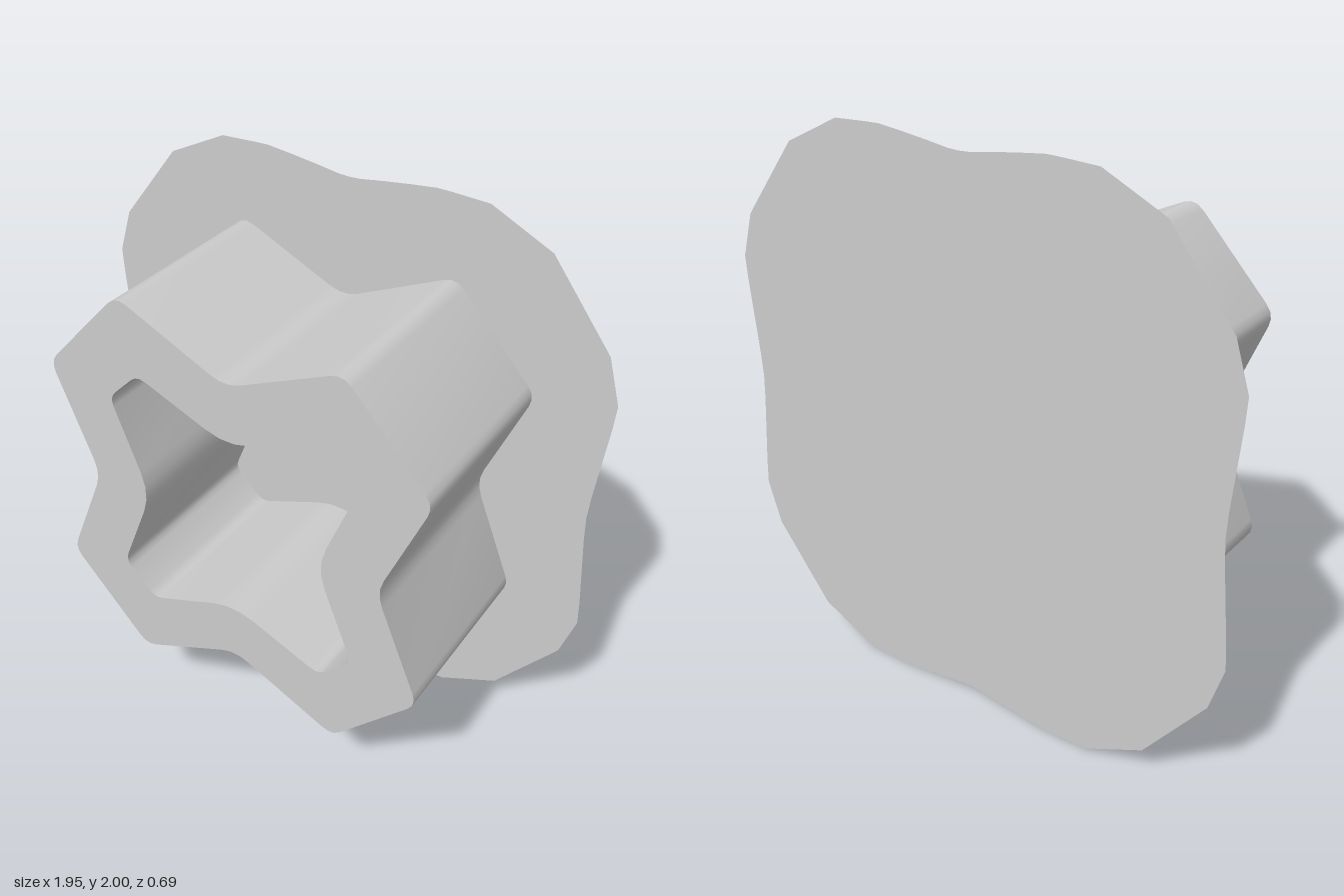
import * as THREE from 'three';
import { toCreasedNormals } from 'three/addons/utils/BufferGeometryUtils.js';

const PLATE_Z = -0.345, WALL_Z = -0.332, WALL_DEPTH = 0.677;

// Mirror a quarter outline (top axis to side axis) into a closed clockwise loop
function mirrorQuarter(q) {
  const half = [...q, ...q.slice(0, -1).reverse().map(([x, y]) => [x, -y])];
  const other = half.slice(1, -1).reverse().map(([x, y]) => [-x, y]);
  return [...half, ...other].map(([x, y]) => new THREE.Vector2(x, y));
}

// Round every corner: wide curves in the notches (on an axis), tight ones at the tips
function roundedPoints(q, notchCut, tipCut) {
  const pts = mirrorQuarter(q);
  const path = new THREE.Path();
  pts.forEach((p, i) => {
    const cut = p.x === 0 || p.y === 0 ? notchCut : tipCut;
    const toward = (o) => p.clone().add(o.clone().sub(p).setLength(cut));
    const a = toward(pts[(i + pts.length - 1) % pts.length]);
    const b = toward(pts[(i + 1) % pts.length]);
    if (i === 0) path.moveTo(a.x, a.y); else path.lineTo(a.x, a.y);
    path.quadraticCurveTo(p.x, p.y, b.x, b.y);
  });
  return path.getPoints(3);
}

export function createModel() {
  const group = new THREE.Group();
  const solid = new THREE.MeshStandardMaterial({ color: 0xcccccc });
  const sheet = new THREE.MeshStandardMaterial({ color: 0xcccccc, side: THREE.DoubleSide });

  const add = (name, geometry, material, z) => {
    const mesh = new THREE.Mesh(geometry, material);
    mesh.name = name;
    mesh.position.set(0, 1, z);
    group.add(mesh);
  };

  // Star-shaped hollow wall: counter-clockwise outside, clockwise hole, so all walls face outwards
  const outer = roundedPoints([[0, 0.546], [0.405, 0.73], [0.714, 0.4], [0.547, 0]], 0.06, 0.045);
  const inner = roundedPoints([[0, 0.33], [0.345, 0.467], [0.468, 0.345], [0.33, 0]], 0.09, 0.035);
  const star = new THREE.Shape(outer.reverse());
  star.holes.push(new THREE.Path(inner));
  const wall = new THREE.ExtrudeGeometry(star, { depth: WALL_DEPTH, bevelEnabled: false });
  add('starWall', toCreasedNormals(wall, 0.7), solid, WALL_Z);

  // Thin back plate with a star slot that bares the end of the wall
  const plate = new THREE.Shape(mirrorQuarter([
    [0, 0.963], [0.04, 0.965], [0.12, 0.977], [0.22, 0.99], [0.31, 1], [0.36, 0.999], [0.49, 0.993],
    [0.705, 0.89], [0.925, 0.61], [0.975, 0.45], [0.97, 0.36], [0.945, 0.09], [0.94, 0],
  ]));
  plate.holes.push(new THREE.Path(mirrorQuarter([[0, 0.53], [0.4, 0.6], [0.57, 0.38], [0.5, 0]])));
  add('backPlate', new THREE.ShapeGeometry(plate), sheet, PLATE_Z);

  // Floor of the cavity, inside the slot
  const floor = new THREE.Shape(mirrorQuarter([[0, 0.365], [0.375, 0.51], [0.505, 0.34], [0.39, 0]]));
  add('cavityFloor', new THREE.ShapeGeometry(floor), sheet, PLATE_Z);

  return group;
}
